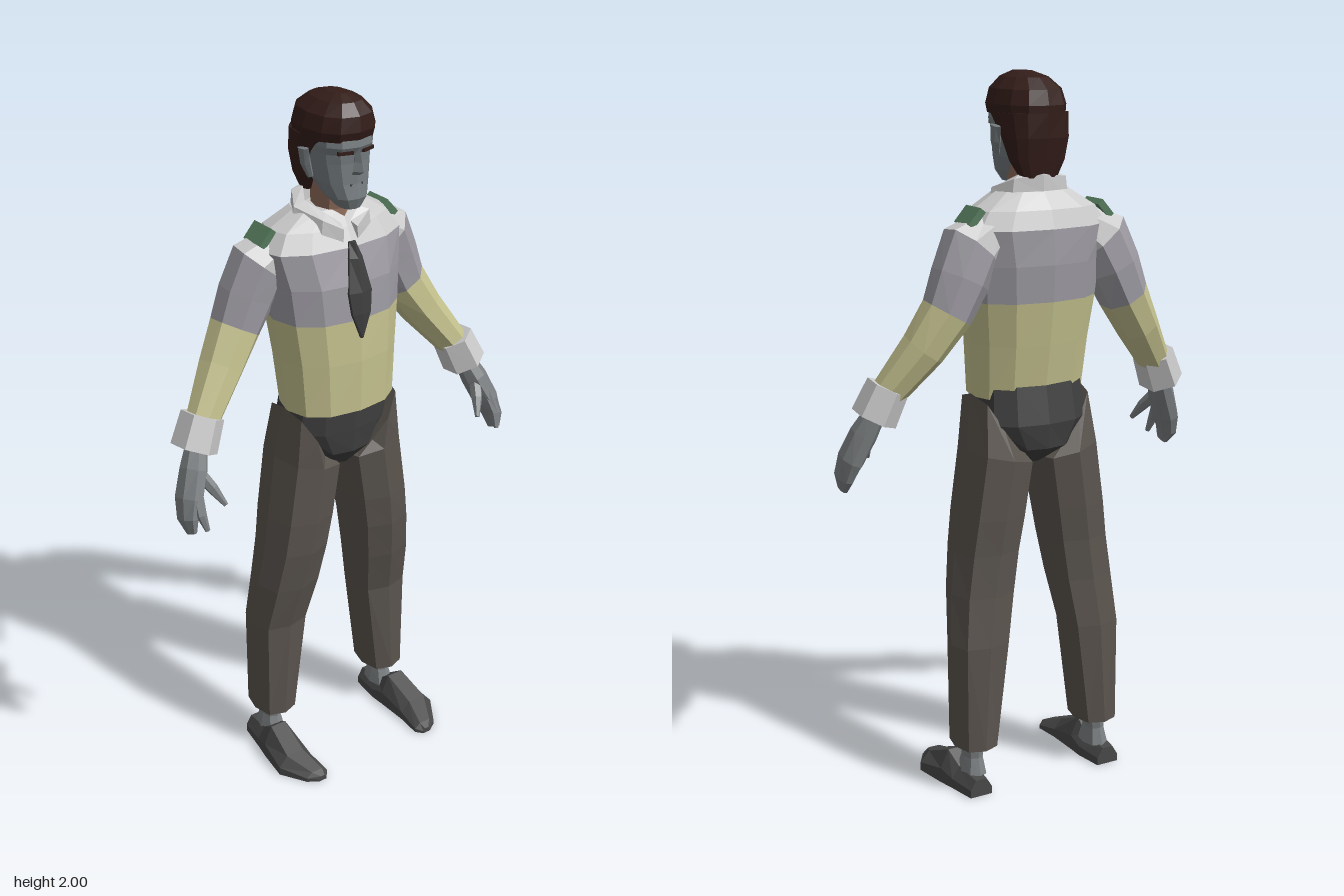
import * as THREE from 'three';

const C = {
  yellow: 0xc4c18e, grey: 0x9d9ba2, pale: 0xcfcfcf, green: 0x55795c, trousers: 0x5a544e,
  dark: 0x3e3e3e, shoe: 0x484848, skin: 0x757c7f, hand: 0x7c8082, neck: 0x8d6a58, hair: 0x331d19,
};
const V = (x, y, z) => new THREE.Vector3(x, y, z);

function addMesh(parent, name, geometry, color) {
  const mesh = new THREE.Mesh(geometry, new THREE.MeshStandardMaterial({ color, flatShading: true }));
  mesh.name = name;
  parent.add(mesh);
  return mesh;
}

// Closed skin over a row of rings; faces are turned outward by the sign of the volume.
function loft(rings) {
  const tris = [];
  const n = rings[0].length;
  for (let i = 0; i + 1 < rings.length; i++) {
    for (let j = 0; j < n; j++) {
      const k = (j + 1) % n, a = rings[i], b = rings[i + 1];
      tris.push([a[j], a[k], b[k]], [a[j], b[k], b[j]]);
    }
  }
  const cap = (r, flip) => {
    const c = r.reduce((s, p) => s.add(p), V(0, 0, 0)).divideScalar(n);
    r.forEach((p, j) => tris.push(flip ? [c, r[(j + 1) % n], p] : [c, p, r[(j + 1) % n]]));
  };
  cap(rings[0], true);
  cap(rings.at(-1), false);
  const volume = tris.reduce((s, [a, b, c]) => s + a.dot(b.clone().cross(c)), 0);
  const points = tris.flatMap(([a, b, c]) => (volume < 0 ? [a, c, b] : [a, b, c]));
  const g = new THREE.BufferGeometry().setFromPoints(points);
  g.computeVertexNormals();
  return g;
}

// Level ring from its extents; tilt raises the +x edge and lowers the other.
function levelRing([y, x0, x1, zb, zf, tilt = 0], n, power, s = 1) {
  return Array.from({ length: n }, (_, i) => {
    const a = (i / n) * Math.PI * 2;
    const u = Math.sign(Math.sin(a)) * Math.abs(Math.sin(a)) ** power;
    const w = Math.sign(Math.cos(a)) * Math.abs(Math.cos(a)) ** power;
    return V(s * ((x0 + x1) / 2 + (u * (x1 - x0)) / 2), y + tilt * u, (zf + zb) / 2 + (w * (zf - zb)) / 2);
  });
}
// Rows of [y, half width, back z, front z] centred on x = 0.
const body = (rows, n = 12, power = 0.85) => rows.map(([y, w, zb, zf]) => levelRing([y, -w, w, zb, zf], n, power));

// Rings square to a path; rows of [x, y, z, radius across, radius deep].
function limb(rows, s, n = 8) {
  const pts = rows.map(([x, y, z]) => V(x, y, z));
  return rows.map(([, , , ru, rv], i) => {
    const d = pts[Math.min(i + 1, pts.length - 1)].clone().sub(pts[Math.max(i - 1, 0)]).normalize();
    const u = d.clone().cross(V(0, 0, 1)).normalize();
    const v = u.clone().cross(d);
    return Array.from({ length: n }, (_, j) => {
      const a = ((j + 0.5) / n) * Math.PI * 2, k = 1 / Math.cos(Math.PI / n);
      const p = pts[i].clone().addScaledVector(u, Math.cos(a) * ru * k).addScaledVector(v, Math.sin(a) * rv * k);
      p.x *= s;
      return p;
    });
  });
}

function buildTorso(g) {
  const rings = body([
    [1.13, 0.165, -0.135, 0.1], [1.28, 0.175, -0.16, 0.103], [1.4, 0.19, -0.178, 0.098],
    [1.5, 0.2, -0.185, 0.09], [1.595, 0.22, -0.18, 0.06], [1.645, 0.185, -0.165, 0.035], [1.69, 0.11, -0.125, 0.01],
  ]);
  addMesh(g, 'shirtLower', loft(rings.slice(0, 3)), C.yellow);
  addMesh(g, 'shirtChest', loft(rings.slice(2, 5)), C.grey);
  addMesh(g, 'shirtYoke', loft(rings.slice(4)), C.pale);
  addMesh(g, 'pelvis', loft(body([
    [1.17, 0.155, -0.14, 0.075], [1.06, 0.165, -0.16, 0.072], [0.99, 0.11, -0.155, 0.068], [0.94, 0.03, -0.09, 0.03],
  ])), C.dark);
  addMesh(g, 'tie', loft(body([
    [1.61, 0.012, 0.02, 0.068], [1.57, 0.024, 0.04, 0.085], [1.48, 0.042, 0.07, 0.104],
    [1.42, 0.034, 0.08, 0.109], [1.35, 0.006, 0.09, 0.107],
  ], 6, 1)), C.dark);

  // Collar, one half from the front opening round to the nape, then mirrored.
  const half = [[0.022, 1.655, 0.05], [0.075, 1.685, 0.03], [0.115, 1.71, -0.045], [0.08, 1.735, -0.105], [0, 1.745, -0.125]];
  const path = [...half, ...half.slice(0, -1).reverse().map(([x, y, z]) => [-x, y, z])];
  addMesh(g, 'collar', loft(path.map(([x, y, z]) => {
    const ix = x * 0.7, iz = -0.04 + (z + 0.04) * 0.75;
    return [V(ix, y, iz), V(x, y - 0.01, z), V(x * 1.08, y - 0.06, z), V(ix, y - 0.06, iz)];
  })), C.pale);
}

function buildHead(g) {
  addMesh(g, 'neck', loft(body([[1.62, 0.06, -0.1, 0.03], [1.69, 0.05, -0.095, 0.018], [1.77, 0.05, -0.1, 0.03]], 8)), C.neck);
  addMesh(g, 'face', loft(body([
    [1.705, 0.028, 0.0, 0.072], [1.735, 0.052, -0.04, 0.084], [1.775, 0.068, -0.08, 0.078],
    [1.83, 0.077, -0.1, 0.076], [1.855, 0.08, -0.11, 0.078], [1.875, 0.083, -0.12, 0.089], [1.93, 0.075, -0.12, 0.08],
  ], 12, 0.8)), C.skin);
  addMesh(g, 'nose', loft(body([[1.8, 0.014, 0.06, 0.085], [1.812, 0.018, 0.06, 0.106], [1.835, 0.011, 0.06, 0.098], [1.87, 0.007, 0.06, 0.087]], 4, 1)), C.skin);
  addMesh(g, 'mouth', new THREE.BoxGeometry(0.04, 0.007, 0.01), C.dark).position.set(0, 1.772, 0.07);
  addMesh(g, 'hairCrown', loft(body([
    [1.89, 0.094, -0.148, 0.085], [1.915, 0.097, -0.15, 0.093], [1.955, 0.085, -0.14, 0.088],
    [1.985, 0.056, -0.1, 0.062], [2.0, 0.022, -0.045, 0.025],
  ], 12)), C.hair);
  addMesh(g, 'hairBack', loft(body([
    [1.725, 0.055, -0.12, -0.07], [1.77, 0.078, -0.13, -0.045], [1.83, 0.089, -0.143, -0.012], [1.895, 0.094, -0.148, 0.055],
  ], 12, 0.7)), C.hair);
  for (const s of [1, -1]) {
    const ear = addMesh(g, 'ear', loft(limb([[0.082, 1.785, -0.015, 0.006, 0.01], [0.09, 1.82, -0.025, 0.01, 0.018], [0.094, 1.86, -0.03, 0.008, 0.022]], s, 6)), C.skin);
    ear.name = s > 0 ? 'leftEar' : 'rightEar';
    const brow = addMesh(g, 'brow', new THREE.BoxGeometry(0.042, 0.009, 0.012), C.hair);
    brow.position.set(s * 0.035, 1.862, 0.073);
    brow.rotation.y = s * 0.3;
  }
}

function buildArm(s) {
  const g = new THREE.Group();
  g.name = s > 0 ? 'leftArm' : 'rightArm';
  const sleeve = limb([
    [0.13, 1.6, -0.075, 0.05, 0.06], [0.2, 1.55, -0.085, 0.082, 0.07], [0.238, 1.47, -0.092, 0.076, 0.07],
    [0.278, 1.385, -0.092, 0.066, 0.066], [0.34, 1.29, -0.072, 0.056, 0.062], [0.432, 1.165, -0.03, 0.042, 0.045],
  ], s);
  addMesh(g, 'shoulder', loft(sleeve.slice(0, 2)), C.pale);
  addMesh(g, 'upperSleeve', loft(sleeve.slice(1, 4)), C.grey);
  addMesh(g, 'lowerSleeve', loft(sleeve.slice(3)), C.yellow);
  const patch = addMesh(g, 'shoulderPatch', new THREE.BoxGeometry(0.055, 0.02, 0.08), C.green);
  patch.position.set(s * 0.2, 1.63, -0.08);
  patch.rotation.z = -s * 0.85;
  addMesh(g, 'cuff', loft(limb([[0.425, 1.19, -0.032, 0.05, 0.055], [0.463, 1.105, -0.02, 0.054, 0.06]], s, 6)), C.pale);
  // Hand with its thumb and bent forefinger.
  addMesh(g, 'palm', loft(limb([
    [0.458, 1.115, -0.015, 0.028, 0.03], [0.482, 1.06, 0.005, 0.034, 0.04], [0.512, 0.99, 0.025, 0.032, 0.046],
    [0.527, 0.94, 0.04, 0.022, 0.04], [0.525, 0.902, 0.055, 0.01, 0.022],
  ], s)), C.hand);
  addMesh(g, 'thumb', loft(limb([[0.478, 1.06, 0.015, 0.016, 0.018], [0.455, 1.015, 0.055, 0.014, 0.015], [0.434, 0.972, 0.085, 0.006, 0.006]], s, 6)), C.hand);
  addMesh(g, 'forefinger', loft(limb([[0.5, 1.02, 0.045, 0.014, 0.015], [0.507, 0.96, 0.08, 0.012, 0.012], [0.5, 0.92, 0.096, 0.006, 0.006]], s, 6)), C.hand);
  return g;
}

function buildLeg(s) {
  const g = new THREE.Group();
  g.name = s > 0 ? 'leftLeg' : 'rightLeg';
  addMesh(g, 'trouserLeg', loft([
    [1.055, 0.07, 0.172, -0.12, 0.066, 0.085], [0.965, 0.012, 0.195, -0.15, 0.072, 0.02], [0.8, 0.035, 0.222, -0.147, 0.07],
    [0.7, 0.052, 0.235, -0.14, 0.062], [0.58, 0.07, 0.252, -0.14, 0.04], [0.44, 0.095, 0.265, -0.15, 0.005], [0.135, 0.14, 0.258, -0.15, 0],
  ].map((r) => levelRing(r, 8, 0.75, s))), C.trousers);
  addMesh(g, 'ankle', loft([[0.16, 0.17, 0.235, -0.12, -0.035], [0.1, 0.178, 0.23, -0.115, -0.04], [0.05, 0.17, 0.24, -0.13, -0.02]]
    .map((r) => levelRing(r, 8, 0.9, s))), C.hand);
  // Shoe sections from heel to toe: z, centre x, half width, height.
  addMesh(g, 'shoe', loft([
    [-0.145, 0.212, 0.034, 0.05], [-0.06, 0.214, 0.046, 0.062], [-0.01, 0.22, 0.05, 0.096],
    [0.09, 0.228, 0.056, 0.055], [0.165, 0.202, 0.036, 0.026], [0.185, 0.195, 0.012, 0.016],
  ].map(([z, x, w, h]) => [[-1, 0], [1, 0], [1, 0.45], [0.5, 1], [-0.5, 1], [-1, 0.45]]
    .map(([u, v]) => V(s * (x + u * w), v * h, z)))), C.shoe);
  return g;
}

export function createModel() {
  const model = new THREE.Group();
  model.name = 'standingMan';
  for (const [name, build] of [['torso', buildTorso], ['head', buildHead]]) {
    const g = new THREE.Group();
    g.name = name;
    build(g);
    model.add(g);
  }
  for (const s of [1, -1]) model.add(buildArm(s), buildLeg(s));
  return model;
}
